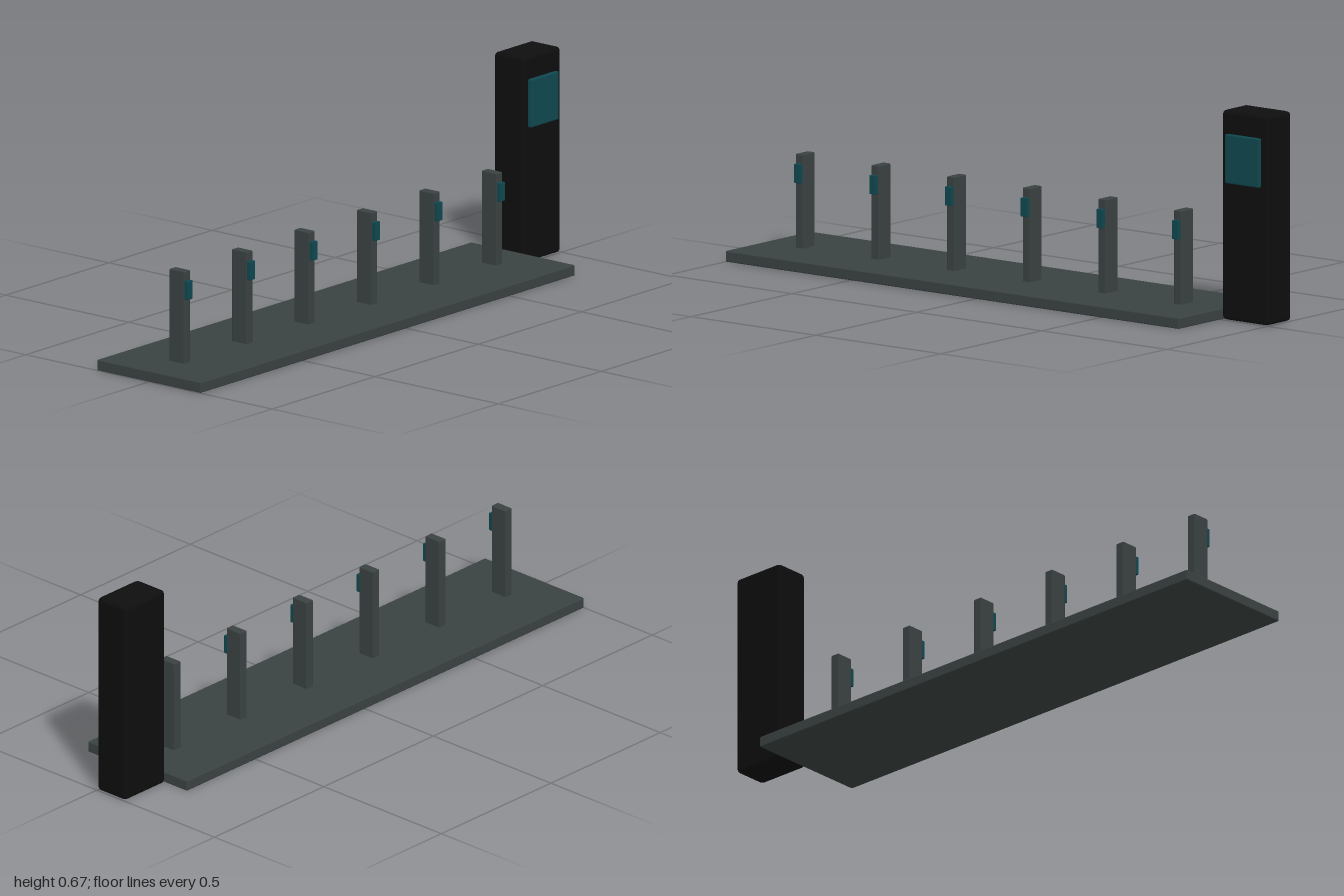
import * as THREE from 'three';
import { RoundedBoxGeometry } from 'three/addons/geometries/RoundedBoxGeometry.js';

const material = (name, color) => {
  const m = new THREE.MeshStandardMaterial({ color });
  m.name = name;
  return m;
};

export function createModel() {
  const group = new THREE.Group();
  const slate = material('slate grey', 0x3a4241);
  const black = material('black', 0x0e0e0e);
  const teal = material('dark teal', 0x0f474f);

  // Softly bevelled box given by its lower and upper corners
  const block = (name, [x0, y0, z0], [x1, y1, z1], bevel, mat, parent = group) => {
    const geometry = new RoundedBoxGeometry(x1 - x0, y1 - y0, z1 - z0, 1, bevel);
    const mesh = new THREE.Mesh(geometry, mat);
    mesh.name = name;
    mesh.position.set((x0 + x1) / 2, (y0 + y1) / 2, (z0 + z1) / 2);
    parent.add(mesh);
  };

  // Long floor plate
  block('basePlate', [-1, 0.002, -0.211], [0.815, 0.037, 0.211], 0.004, slate);

  // Row of docking posts, each with a small lock on its front
  for (let i = 0; i < 6; i++) {
    const dock = new THREE.Group();
    dock.name = 'dock' + (i + 1);
    dock.position.x = -0.85 + i * 0.3028;
    block('post', [-0.015, 0.03, -0.03], [0.015, 0.334, 0.03], 0.003, slate, dock);
    block('lock', [-0.0125, 0.244, 0.02], [0.0125, 0.304, 0.043], 0.002, teal, dock);
    group.add(dock);
  }

  // Terminal pillar at the end, with its screen
  block('terminal', [0.815, 0.002, -0.121], [1, 0.667, 0], 0.013, black);
  block('screen', [0.838, 0.438, -0.004], [0.975, 0.594, 0.013], 0.005, teal);

  return group;
}
